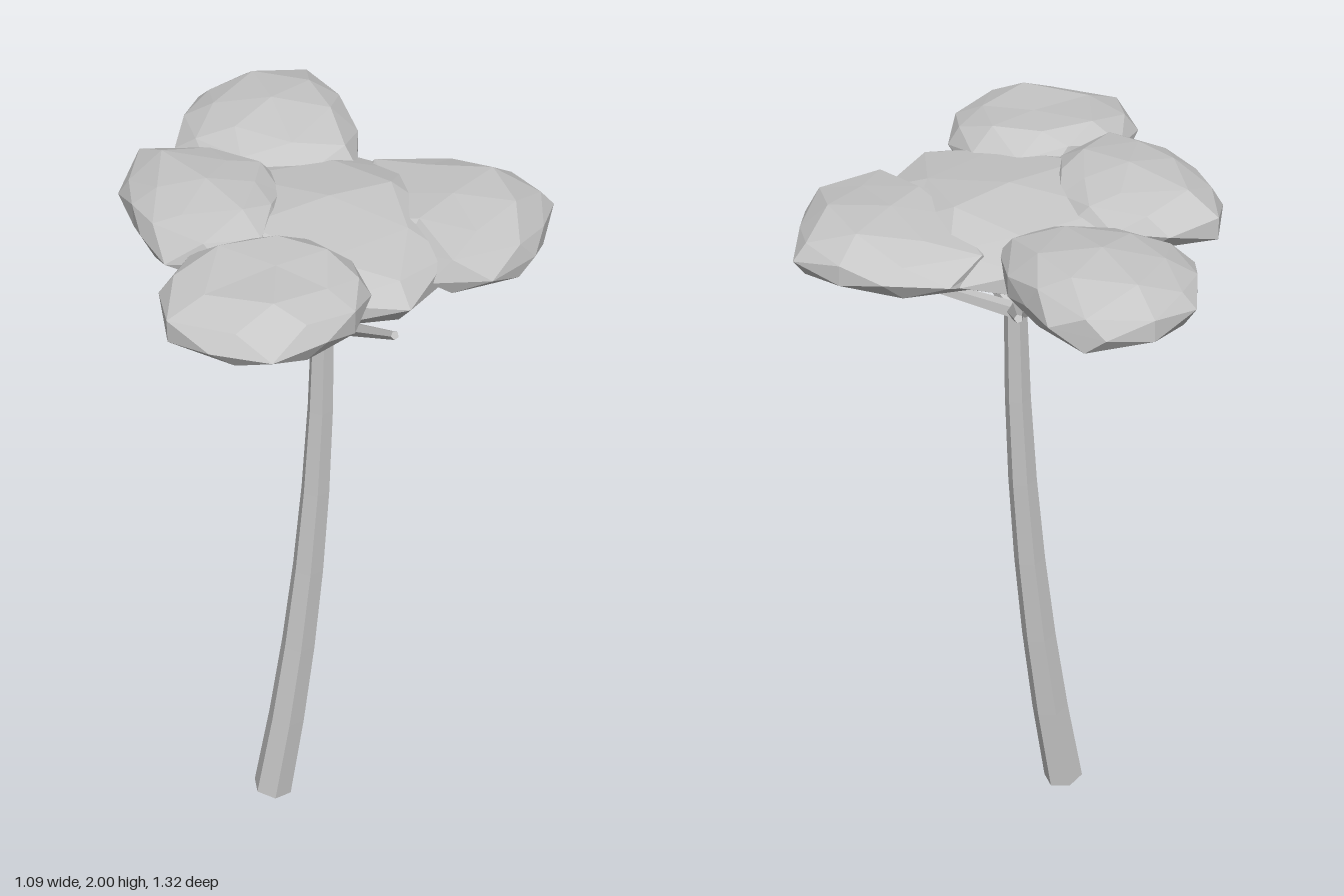
import * as THREE from 'three';

const grey = new THREE.MeshStandardMaterial({ color: 0xc6c6c6, flatShading: true });
grey.name = 'grey';

// Small repeatable noise from a direction and a seed, -1..1
function noise(v, seed) {
  const key = Math.round(v.x * 100) * 12.9898 + Math.round(v.y * 100) * 78.233
    + Math.round(v.z * 100) * 37.719 + seed * 91.7;
  const s = Math.sin(key) * 43758.5453;
  return (s - Math.floor(s)) * 2 - 1;
}

// Distance from c to the outline along the direction (dx, dz)
function reach(outline, c, dx, dz) {
  let best = 0;
  outline.forEach(([ax, az], i) => {
    const [bx, bz] = outline[(i + 1) % outline.length];
    const ex = bx - ax, ez = bz - az;
    const det = dx * ez - dz * ex;
    if (Math.abs(det) < 1e-9) return;
    const px = ax - c.x, pz = az - c.z;
    const along = (px * ez - pz * ex) / det;
    const u = (px * dz - pz * dx) / det;
    if (along > 0 && u >= -1e-6 && u <= 1 + 1e-6) best = Math.max(best, along);
  });
  return best;
}

// Faceted foliage lump: a rough ball spread out to a plan outline of [x, z] points
function foliage({ name, outline, bottom, top, seed }) {
  const c = { x: 0, z: 0 };
  for (const [x, z] of outline) {
    c.x += x / outline.length;
    c.z += z / outline.length;
  }
  const geometry = new THREE.IcosahedronGeometry(1, 1);
  geometry.rotateY(seed * 0.35);
  const pos = geometry.attributes.position;
  const v = new THREE.Vector3();
  for (let i = 0; i < pos.count; i++) {
    v.fromBufferAttribute(pos, i).normalize();
    const n = noise(v, seed);
    const h = Math.hypot(v.x, v.z);
    const y = (bottom + top) / 2 + v.y * (1 + 0.06 * n) * (top - bottom) / 2 + 0.008 * n;
    if (h < 1e-4) {
      pos.setXYZ(i, c.x, y, c.z);
      continue;
    }
    const dx = v.x / h, dz = v.z / h;
    const r = reach(outline, c, dx, dz) * Math.pow(h, 0.85) * (1.01 + 0.02 * n);
    pos.setXYZ(i, c.x + dx * r, Math.min(y, 2), c.z + dz * r);
  }
  geometry.computeVertexNormals();
  const mesh = new THREE.Mesh(geometry, grey);
  mesh.name = name;
  return mesh;
}

// Tapered six-sided trunk swept along a curve
function bentTrunk(curve, r0, r1) {
  const geometry = new THREE.CylinderGeometry(r1, r0, 1, 6, 6);
  const pos = geometry.attributes.position;
  for (let i = 0; i < pos.count; i++) {
    const t = pos.getY(i) + 0.5;
    const p = curve.getPoint(t);
    const d = curve.getTangent(t);
    const x = pos.getX(i);
    pos.setXYZ(i, p.x + x * d.y, p.y - x * d.x, p.z + pos.getZ(i));
  }
  geometry.computeVertexNormals();
  const mesh = new THREE.Mesh(geometry, grey);
  mesh.name = 'trunk';
  return mesh;
}

// Straight tapered branch between two points
function branch(from, to) {
  const dir = to.clone().sub(from);
  const mesh = new THREE.Mesh(new THREE.CylinderGeometry(0.011, 0.024, dir.length(), 5), grey);
  mesh.position.copy(from).addScaledVector(dir, 0.5);
  mesh.quaternion.setFromUnitVectors(new THREE.Vector3(0, 1, 0), dir.normalize());
  mesh.name = 'branch';
  return mesh;
}

// Canopy lumps
const lumps = [
  { name: 'centreFoliage', bottom: 1.745, top: 1.95, seed: 1, outline: [
    [0.14, -0.28], [0.19, -0.22], [0.25, 0], [0.25, 0.2], [0.2, 0.36], [0.03, 0.47],
    [-0.2, 0.41], [-0.4, 0.25], [-0.45, 0], [-0.36, -0.27], [-0.1, -0.3]] },
  { name: 'backFoliage', bottom: 1.795, top: 1.985, seed: 2, outline: [
    [-0.25, -0.65], [-0.11, -0.67], [0.02, -0.65], [0.085, -0.53], [0.085, -0.41], [0.115, -0.27],
    [0.02, -0.11], [-0.16, -0.1], [-0.24, -0.18], [-0.33, -0.26], [-0.395, -0.38], [-0.32, -0.54]] },
  { name: 'rightFoliage', bottom: 1.815, top: 2, seed: 3, outline: [
    [-0.48, -0.275], [-0.33, -0.265], [-0.23, -0.21], [-0.13, -0.1], [-0.17, 0.09],
    [-0.23, 0.21], [-0.3, 0.25], [-0.455, 0.27], [-0.51, 0.11], [-0.555, -0.15]] },
  { name: 'frontFoliage', bottom: 1.8, top: 1.99, seed: 4, outline: [
    [-0.44, 0.22], [-0.3, 0.21], [-0.16, 0.16], [-0.07, 0.2], [0, 0.34], [0, 0.43],
    [-0.05, 0.54], [-0.14, 0.61], [-0.27, 0.665], [-0.51, 0.555], [-0.49, 0.32]] },
  { name: 'leftFoliage', bottom: 1.765, top: 1.945, seed: 5, outline: [
    [0.245, -0.24], [0.375, -0.18], [0.51, -0.06], [0.55, 0.05], [0.465, 0.21], [0.395, 0.32],
    [0.245, 0.355], [0.16, 0.33], [0.11, 0.2], [0.02, 0.11], [0.05, -0.09], [0.1, -0.23]] },
];

export function createModel() {
  const tree = new THREE.Group();
  tree.name = 'flatTopTree';

  // Leaning trunk
  const top = new THREE.Vector3(-0.06, 1.58, 0.06);
  tree.add(bentTrunk(new THREE.QuadraticBezierCurve3(
    new THREE.Vector3(-0.21, 0.01, 0.06), new THREE.Vector3(-0.07, 0.8, 0.06), top), 0.056, 0.031));

  // Five spreading branches
  const branches = new THREE.Group();
  branches.name = 'branches';
  for (let i = 0; i < 5; i++) {
    const a = (i / 5) * Math.PI * 2;
    const tip = new THREE.Vector3(top.x + 0.39 * Math.cos(a), 1.78, top.z + 0.39 * Math.sin(a));
    branches.add(branch(top, tip));
  }
  tree.add(branches);

  // Flat canopy of overlapping lumps
  const canopy = new THREE.Group();
  canopy.name = 'canopy';
  lumps.forEach((lump) => canopy.add(foliage(lump)));
  tree.add(canopy);
  return tree;
}
